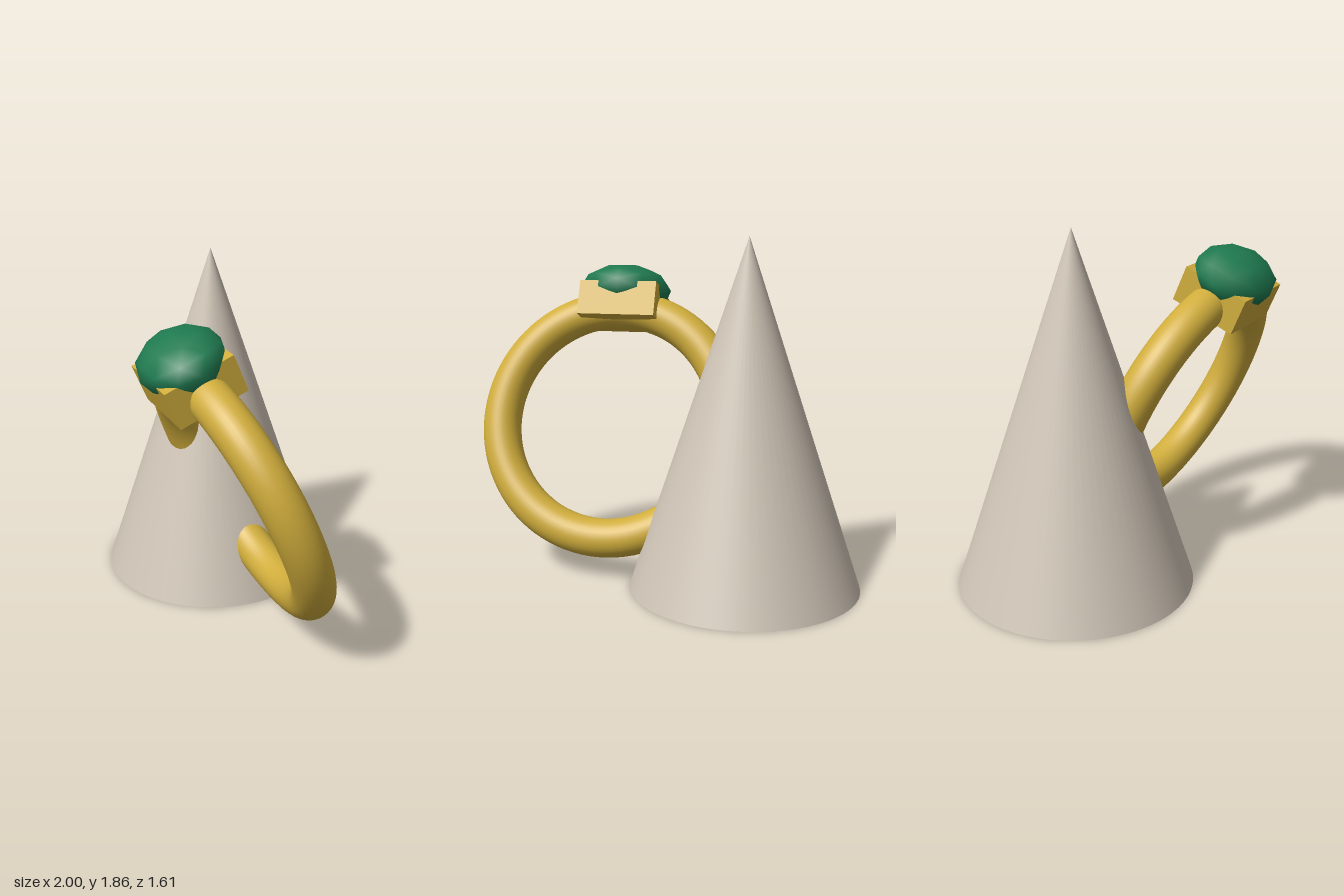
import * as THREE from 'three';

export function createModel() {
  const model = new THREE.Group();
  const stone = new THREE.MeshStandardMaterial({ color: 0xcfc4b6 });
  stone.name = 'stone';
  const gold = new THREE.MeshStandardMaterial({ color: 0xd0ad3c });
  gold.name = 'gold';
  const emerald = new THREE.MeshStandardMaterial({ color: 0x1f7a50 });
  emerald.name = 'emerald';

  const add = (parent, name, geometry, material, x, y, z) => {
    const mesh = new THREE.Mesh(geometry, material);
    mesh.name = name;
    mesh.position.set(x, y, z);
    parent.add(mesh);
    return mesh;
  };

  // Display cone
  const height = 1.86;
  add(model, 'displayCone', new THREE.ConeGeometry(0.62, height, 64), stone, -0.38, height / 2, -0.19);

  // Ring leaning against the cone; its local y runs from centre to gem
  const ring = new THREE.Group();
  ring.name = 'ring';
  ring.position.set(0.28, 0.823, 0.285);
  ring.rotation.set(THREE.MathUtils.degToRad(22.5), THREE.MathUtils.degToRad(-22), 0, 'YXZ');
  model.add(ring);

  add(ring, 'band', new THREE.TorusGeometry(0.652, 0.107, 32, 96), gold, 0, 0, 0);
  add(ring, 'setting', new THREE.BoxGeometry(0.44, 0.195, 0.365), gold, -0.005, 0.67, 0.003);

  // Faceted gem, flattened and sunk halfway into the setting
  const gem = add(ring, 'gem', new THREE.IcosahedronGeometry(1, 1), emerald, -0.005, 0.77, 0.003);
  gem.scale.set(0.265, 0.14, 0.218);

  return model;
}
